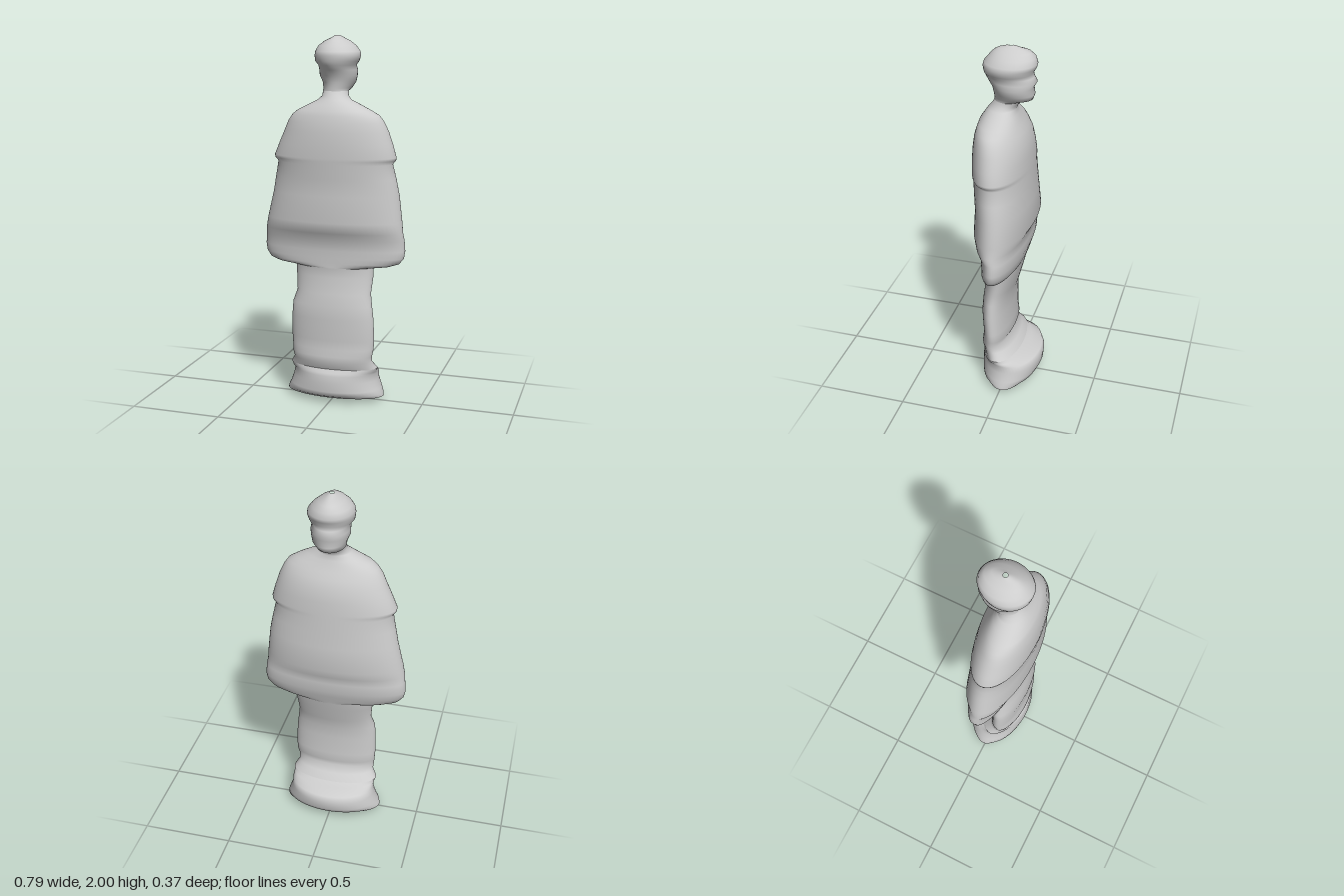
import * as THREE from 'three';

const SEGMENTS = 64;

// Each row is one elliptical slice: [y, minX, maxX, minZ, maxZ], listed top to bottom.
const HEAD = [
  [2.0, 0, 0.024, -0.012, 0.012],
  [1.985, -0.02, 0.045, -0.07, 0.065],
  [1.97, -0.055, 0.075, -0.105, 0.09],
  [1.945, -0.09, 0.108, -0.128, 0.113],
  [1.915, -0.104, 0.132, -0.138, 0.138],
  [1.895, -0.106, 0.137, -0.133, 0.143],
  [1.865, -0.102, 0.13, -0.116, 0.138],
  [1.845, -0.085, 0.112, -0.122, 0.13],
  [1.82, -0.085, 0.115, -0.137, 0.115],
  [1.79, -0.085, 0.115, -0.12, 0.095],
  [1.755, -0.07, 0.105, -0.127, 0.087],
  [1.725, -0.065, 0.085, -0.116, 0.085],
  [1.71, -0.06, 0.077, -0.055, 0.085],
];
const COAT = [
  [1.71, -0.06, 0.077, -0.055, 0.085],
  [1.685, -0.06, 0.08, -0.038, 0.1],
  [1.665, -0.08, 0.1, -0.03, 0.118],
  [1.64, -0.13, 0.155, -0.04, 0.135],
  [1.61, -0.19, 0.215, -0.052, 0.155],
  [1.585, -0.222, 0.258, -0.065, 0.163],
  [1.55, -0.247, 0.283, -0.082, 0.173],
  [1.5, -0.27, 0.305, -0.103, 0.18],
  [1.43, -0.302, 0.328, -0.113, 0.184],
  [1.365, -0.33, 0.346, -0.117, 0.183],
  [1.35, -0.328, 0.343, -0.118, 0.182],
  [1.33, -0.311, 0.326, -0.119, 0.18],
  [1.25, -0.327, 0.345, -0.123, 0.173],
  [1.16, -0.345, 0.362, -0.128, 0.166],
  [1.02, -0.378, 0.378, -0.137, 0.175],
  [0.96, -0.388, 0.385, -0.107, 0.155],
  [0.92, -0.394, 0.39, -0.109, 0.128],
  [0.86, -0.398, 0.395, -0.104, 0.122],
  [0.82, -0.39, 0.39, -0.092, 0.121],
  [0.79, -0.367, 0.365, -0.083, 0.12],
  [0.775, -0.325, 0.32, -0.078, 0.12],
  [0.763, -0.215, 0.223, -0.075, 0.12],
];
const TROUSERS = [
  [0.763, -0.215, 0.223, -0.075, 0.12],
  [0.71, -0.212, 0.223, -0.062, 0.115],
  [0.62, -0.202, 0.216, -0.038, 0.133],
  [0.555, -0.223, 0.226, -0.02, 0.141],
  [0.48, -0.228, 0.236, -0.018, 0.147],
  [0.36, -0.23, 0.24, -0.017, 0.138],
  [0.31, -0.227, 0.236, -0.025, 0.141],
  [0.27, -0.223, 0.23, -0.008, 0.146],
  [0.235, -0.22, 0.225, -0.045, 0.147],
  [0.195, -0.245, 0.25, -0.075, 0.13],
];
const SHOES = [
  [0.195, -0.245, 0.25, -0.075, 0.13],
  [0.175, -0.237, 0.246, -0.105, 0.143],
  [0.16, -0.235, 0.245, -0.175, 0.151],
  [0.12, -0.243, 0.247, -0.187, 0.154],
  [0.07, -0.26, 0.265, -0.181, 0.154],
  [0.045, -0.272, 0.274, -0.168, 0.15],
  [0.025, -0.278, 0.278, -0.135, 0.115],
];
const SOLE = [
  [0.025, -0.278, 0.278, -0.135, 0.115],
  [0, 0.007, 0.011, -0.002, 0.002],
];

// Skin a stack of elliptical slices with outward-facing triangles.
function loft(rows) {
  const positions = [];
  const indices = [];
  for (const [y, x0, x1, z0, z1] of rows) {
    for (let i = 0; i < SEGMENTS; i++) {
      const a = (i / SEGMENTS) * Math.PI * 2;
      positions.push(
        (x0 + x1) / 2 + ((x1 - x0) / 2) * Math.cos(a),
        y,
        (z0 + z1) / 2 + ((z1 - z0) / 2) * Math.sin(a)
      );
    }
  }
  for (let r = 0; r < rows.length - 1; r++) {
    for (let i = 0; i < SEGMENTS; i++) {
      const j = (i + 1) % SEGMENTS;
      const a = r * SEGMENTS + i;
      const b = r * SEGMENTS + j;
      const c = a + SEGMENTS;
      const d = b + SEGMENTS;
      indices.push(a, b, c, b, d, c);
    }
  }
  const geometry = new THREE.BufferGeometry();
  geometry.setAttribute('position', new THREE.Float32BufferAttribute(positions, 3));
  geometry.setIndex(indices);
  geometry.computeVertexNormals();
  return geometry;
}

export function createModel() {
  const group = new THREE.Group();
  group.name = 'standingFigure';
  const grey = new THREE.MeshStandardMaterial({ color: 0xcccccc });
  grey.name = 'plain grey';

  // The figure faces -z; neighbouring parts share their boundary slice.
  const parts = { head: HEAD, coat: COAT, trousers: TROUSERS, shoes: SHOES, sole: SOLE };
  for (const [name, rows] of Object.entries(parts)) {
    const mesh = new THREE.Mesh(loft(rows), grey);
    mesh.name = name;
    group.add(mesh);
  }
  return group;
}
